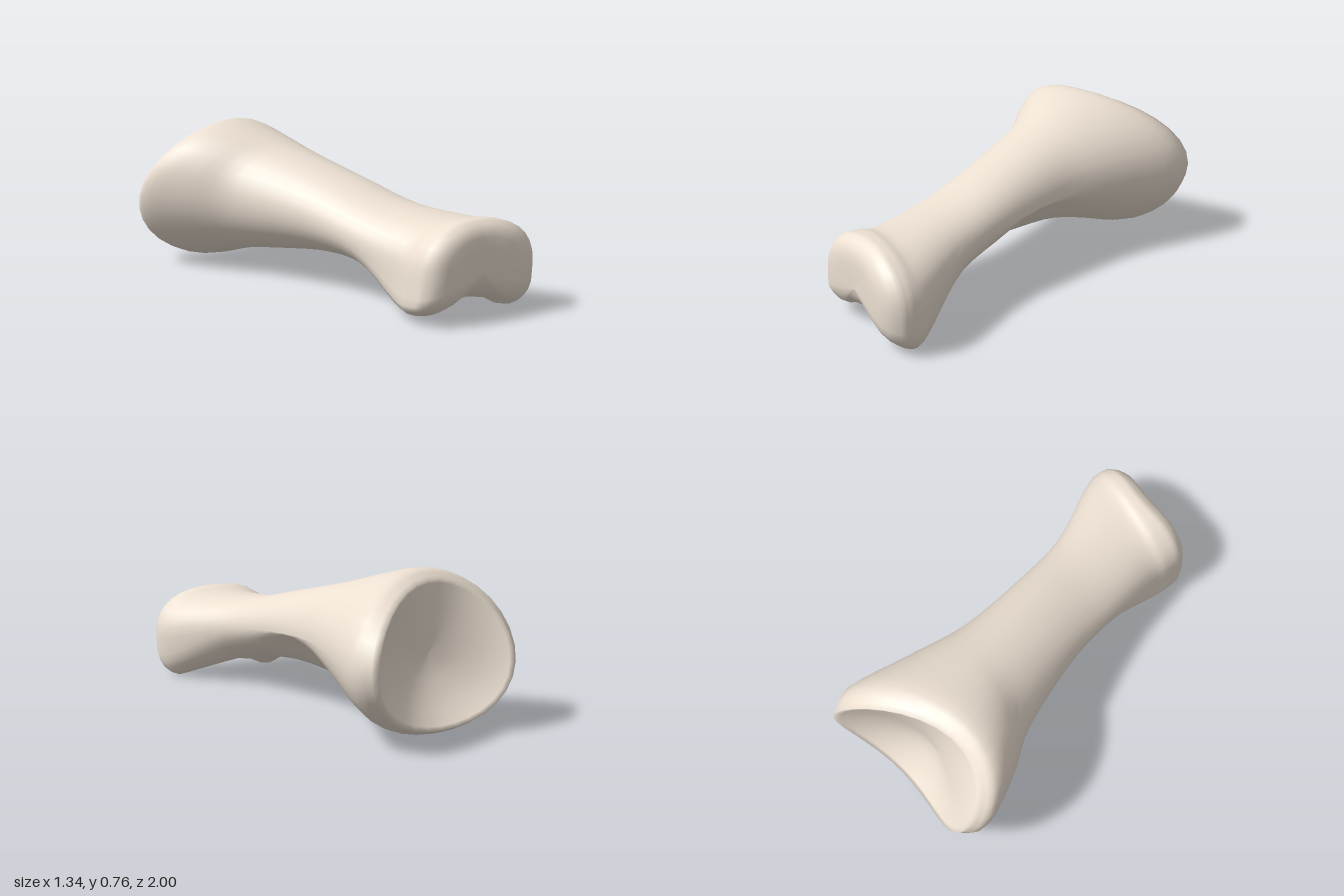
import * as THREE from 'three';

const SIDES = 32;
const { smoothstep } = THREE.MathUtils;

// Outline stations from the socket rim to the front joint: z, left x, right x, bottom y, top y
const STATIONS = [
  [-0.79, -0.63, 0.18, 0.045, 0.715],
  [-0.68, -0.67, 0.26, 0.01, 0.755],
  [-0.42, -0.53, 0.245, 0.09, 0.71],
  [-0.20, -0.36, 0.245, 0.13, 0.65],
  [0.15, -0.18, 0.325, 0.17, 0.553],
  [0.45, -0.08, 0.43, 0.14, 0.472],
  [0.75, -0.045, 0.635, -0.01, 0.443],
  [0.85, -0.04, 0.67, -0.03, 0.457],
  [0.93, -0.03, 0.665, -0.02, 0.46],
];
const widths = new THREE.CatmullRomCurve3(
  STATIONS.map(([z, l, r]) => new THREE.Vector3(z, l, r)), false, 'catmullrom');
const heights = new THREE.CatmullRomCurve3(
  STATIONS.map(([z, , , b, t]) => new THREE.Vector3(z, b, t)), false, 'catmullrom');

const soft = (v, e) => Math.sign(v) * Math.pow(Math.abs(v), e);

// One cross-section of the bone at t = 0 (rim) to 1 (joint)
function section(t) {
  const { x: z, y: left, z: right } = widths.getPoint(t);
  const { y: bottom, z: top } = heights.getPoint(t);
  const rx = (right - left) / 2, ry = (top - bottom) / 2;
  const centre = new THREE.Vector3((left + right) / 2, (bottom + top) / 2, z);
  const tilt = 1 - smoothstep(z, -0.8, -0.15);
  const lift = 0.2 * Math.exp(-(((z + 0.1) / 0.28) ** 2));
  const head = smoothstep(z, 0.4, 0.8);
  const front = smoothstep(z, 0.75, 0.93);
  const ring = Array.from({ length: SIDES }, (_, j) => {
    const a = (j / SIDES) * Math.PI * 2, c = Math.cos(a), s = Math.sin(a);
    const low = Math.max(0, -s);
    // the joint is arched above and squarer below, and narrows upwards on its -x side
    const square = 1 - head * (s < 0 ? 0.45 : 0.12);
    const narrow = c < 0 ? 1 - 0.12 * head * smoothstep(s, -0.6, 0.1) : 1;
    // hollow under the shaft, notch between the knuckles, -x knuckle a little higher
    const raise = low * (lift * Math.max(0, c) + 0.04 * head * Math.max(0, -c)
      + 0.1 * head * Math.exp(-((c / 0.35) ** 2)));
    // saddle-shaped rim; lower edge of the joint set back
    const shift = tilt * (-0.14 * c + 0.09 * s - 0.07 * Math.cos(2 * a) - 0.04 * Math.sin(2 * a))
      - 0.1 * front * low * low;
    return new THREE.Vector3(rx * soft(c, square) * narrow, ry * soft(s, square) + raise, shift)
      .add(centre);
  });
  return { centre, ring };
}

// Copy of an end section shrunk towards its centre, its z relief fading smoothly, pushed by dz
const shrink = ({ centre, ring }, k, dz) => ring.map((p) => {
  const q = centre.clone().lerp(p, k);
  q.z = centre.z + (p.z - centre.z) * k * k + dz;
  return q;
});

// Skin over successive rings; the first and last rings are single points
function skin(rings) {
  const index = [];
  for (let i = 0; i < rings.length - 1; i++) {
    for (let j = 0; j < SIDES; j++) {
      const p = i * SIDES + j, q = i * SIDES + (j + 1) % SIDES;
      if (i > 0) index.push(p, q, p + SIDES);
      if (i < rings.length - 2) index.push(q, q + SIDES, p + SIDES);
    }
  }
  const geometry = new THREE.BufferGeometry().setFromPoints(rings.flat());
  geometry.setIndex(index);
  geometry.computeVertexNormals();
  return geometry;
}

export function createModel() {
  const rim = section(0), joint = section(1);
  const rings = [];
  // dished socket, from its floor out to the rim
  for (const k of [0, 0.2, 0.4, 0.6, 0.75, 0.87, 0.95]) {
    rings.push(shrink(rim, k, 0.14 * (1 - k * k)));
  }
  // flared base, shaft and knuckles
  for (let i = 0; i <= 32; i++) rings.push(section(i / 32).ring);
  // rounded front face
  for (const k of [0.97, 0.92, 0.84, 0.7, 0.5, 0.25, 0]) {
    rings.push(shrink(joint, k, 0.075 * (1 - k ** 8)));
  }
  // front of the joint slants back towards +x, with a shallow groove down the middle
  for (const p of rings.flat()) {
    p.z -= smoothstep(p.z, 0.8, 0.95)
      * (0.07 * (p.x - 0.1) + 0.02 * Math.exp(-(((p.x - 0.36) / 0.14) ** 2)));
  }

  const group = new THREE.Group();
  group.name = 'fingerBone';
  const bone = new THREE.Mesh(skin(rings), new THREE.MeshStandardMaterial({ color: 0xece0d2 }));
  bone.name = 'bone';
  group.add(bone);
  return group;
}
